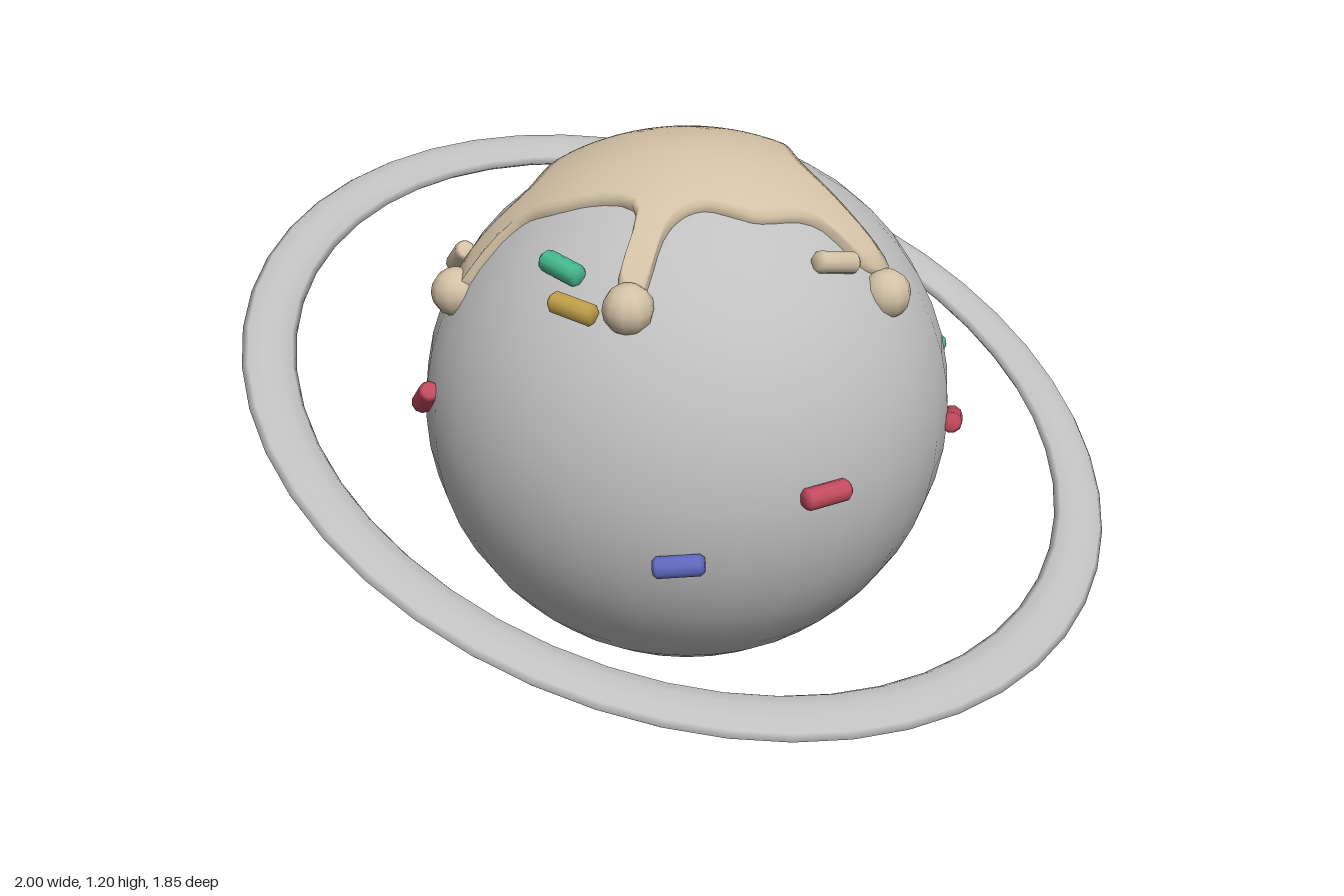
import * as THREE from 'three';

const CENTER_Y = 0.592;
const R = 0.59;

const mat = (name, color, opts = {}) => {
  const m = new THREE.MeshStandardMaterial({ color, ...opts });
  m.name = name;
  return m;
};

// Star-shaped icing outline seen from above, as x, z pairs
const OUTLINE = [
  [0.5, -0.17], [0.46, -0.13], [0.33, -0.07], [0.245, 0.06], [0.165, 0.19], [0.155, 0.32],
  [0.165, 0.44], [0.1, 0.44], [0.04, 0.35], [-0.09, 0.3], [-0.17, 0.21], [-0.25, 0.2],
  [-0.38, 0.25], [-0.4, 0.21], [-0.26, 0.11], [-0.325, -0.07], [-0.36, -0.16],
  [-0.46, -0.24], [-0.42, -0.28], [-0.28, -0.22], [-0.14, -0.275], [-0.04, -0.28], [0.005, -0.36],
  [0.01, -0.46], [0.05, -0.46], [0.07, -0.35], [0.12, -0.28], [0.19, -0.28], [0.235, -0.22],
  [0.35, -0.19], [0.48, -0.195],
];

// Curved sheet filling the outline over the ball, with a short rim turned inward
function icingGeometry() {
  const curve = new THREE.CatmullRomCurve3(
    OUTLINE.map(([x, z]) => new THREE.Vector3(x, 0, z)), true, 'centripetal');
  const cols = 150, rows = 14;
  const edge = curve.getPoints(cols);
  const pos = [], idx = [];
  for (let i = 0; i <= rows + 1; i++) {
    const k = Math.min(i / rows, 1);
    for (const p of edge) {
      const x = p.x * k, z = p.z * k;
      const v = new THREE.Vector3(x, Math.sqrt(0.608 ** 2 - x * x - z * z), z);
      if (i > rows) v.setLength(0.58);
      pos.push(v.x, v.y, v.z);
    }
  }
  const w = cols + 1;
  for (let i = 0; i <= rows; i++) {
    for (let j = 0; j < cols; j++) {
      const a = i * w + j, b = a + w;
      if (i > 0) idx.push(a, a + 1, b + 1);
      idx.push(a, b + 1, b);
    }
  }
  const g = new THREE.BufferGeometry();
  g.setAttribute('position', new THREE.Float32BufferAttribute(pos, 3));
  g.setIndex(idx);
  g.computeVertexNormals();
  return g;
}

export function createModel() {
  const group = new THREE.Group();
  const grey = mat('grey', 0xc0c0c0);
  const cream = mat('cream', 0xd3c2a6);
  const icingMat = cream;
  icingMat.side = THREE.DoubleSide;
  const red = mat('red', 0xc24a5e);
  const green = mat('green', 0x45ba90);
  const blue = mat('blue', 0x5f68bf);
  const yellow = mat('yellow', 0xbf9f4a);

  const add = (name, geo, material) => {
    const m = new THREE.Mesh(geo, material);
    m.name = name;
    group.add(m);
    return m;
  };

  // Ball body
  add('ball', new THREE.SphereGeometry(R, 32, 24), grey).position.y = CENTER_Y;

  // Flattened ring, low at the front
  const ring = add('ring', new THREE.TorusGeometry(0.94, 0.058, 10, 48), grey);
  ring.scale.z = 0.36;
  ring.rotation.x = Math.PI / 2 + 0.383;
  ring.position.y = 0.592;

  // Icing and the drops at its tips
  add('icing', icingGeometry(), icingMat).position.y = CENTER_Y;
  const dropGeo = new THREE.SphereGeometry(0.054, 10, 8);
  for (const [x, y, z] of [
    [0.03, 0.96, -0.47], [0.5, 0.9, -0.16], [0.135, 0.93, 0.46],
    [-0.39, 0.975, 0.23], [-0.44, 0.89, -0.265],
  ]) add('icingDrop', dropGeo, cream).position.set(x, y, z);

  // Sprinkles: colour, position, direction along the surface
  const sprinkleGeo = new THREE.LatheGeometry([
    [0, -0.054], [0.016, -0.054], [0.024, -0.045], [0.024, 0.045], [0.016, 0.054], [0, 0.054],
  ].map(([x, y]) => new THREE.Vector2(x, y)), 10);
  const sprinkles = [
    [red, [-0.165, 0.605, 0.575], [0.1, 0.003, 0.02]],
    [red, [0.36, 0.575, 0.48], [0.09, -0.03, -0.07]],
    [blue, [-0.425, 0.47, 0.41], [0.08, 0.012, 0.08]],
    [green, [0.53, 0.65, 0.265], [0.04, -0.025, -0.09]],
    [red, [0.535, 0.85, 0.07], [0, 0.03, -0.1]],
    [green, [0.38, 1.01, -0.2], [0.04, 0, 0.08]],
    [yellow, [0.26, 1.02, -0.335], [0.06, 0.027, 0.08]],
    [blue, [0.22, 0.76, -0.53], [0.09, 0.04, 0.05]],
    [red, [-0.2, 0.76, -0.54], [0.1, 0.04, -0.02]],
    [red, [-0.525, 0.66, -0.285], [-0.03, 0.06, 0.07]],
    [cream, [-0.33, 0.91, -0.385], [0.03, -0.065, -0.08]],
    [cream, [0.02, 1.015, 0.415], [0.1, -0.02, 0.02]],
    [green, [-0.41, 1.02, 0.055], [0, -0.01, 0.1]],
    [yellow, [-0.45, 0.965, 0.13], [0.02, -0.01, 0.1]],
  ];
  const up = new THREE.Vector3(0, 1, 0);
  for (const [material, p, d] of sprinkles) {
    const normal = new THREE.Vector3(p[0], p[1] - CENTER_Y, p[2]).normalize();
    const dir = new THREE.Vector3(...d).projectOnPlane(normal).normalize();
    const s = add('sprinkle', sprinkleGeo, material);
    s.position.copy(normal).multiplyScalar(0.598);
    s.position.y += CENTER_Y;
    s.quaternion.setFromUnitVectors(up, dir);
  }
  return group;
}
